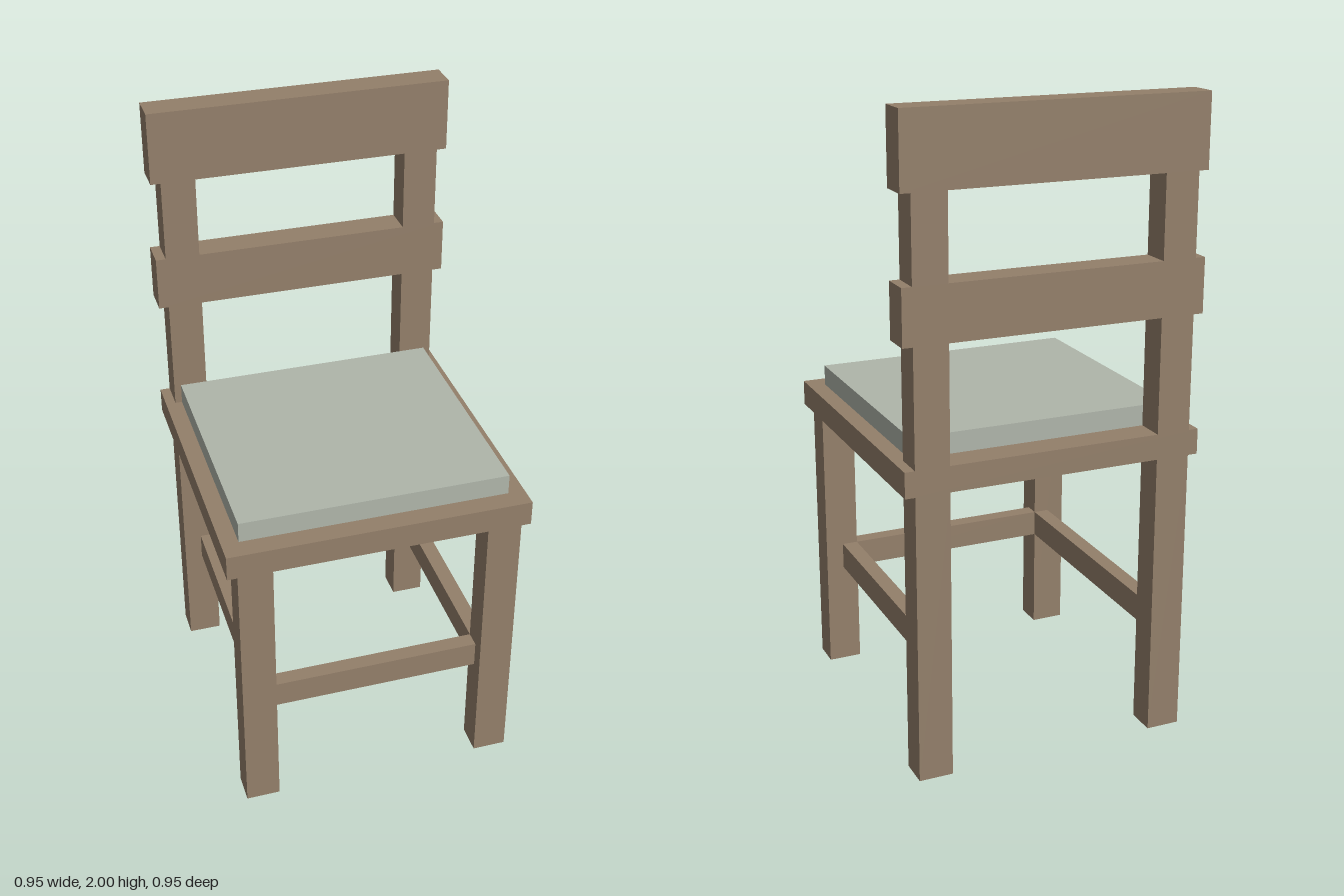
import * as THREE from 'three';

export function createModel() {
  const model = new THREE.Group();
  model.name = 'chair';

  const wood = new THREE.MeshStandardMaterial({ color: 0x937f6a });
  wood.name = 'brown wood';
  const fabric = new THREE.MeshStandardMaterial({ color: 0xafb5aa });
  fabric.name = 'grey green fabric';

  // Box given by its lower and upper limits on each axis
  function addBox(name, material, [x0, x1], [y0, y1], [z0, z1]) {
    const mesh = new THREE.Mesh(new THREE.BoxGeometry(x1 - x0, y1 - y0, z1 - z0), material);
    mesh.position.set((x0 + x1) / 2, (y0 + y1) / 2, (z0 + z1) / 2);
    mesh.name = name;
    model.add(mesh);
  }

  const half = 0.473;              // half of the seat width and depth
  const legIn = 0.335, legOut = 0.442;
  const backZ = [-half, -0.378];
  const frontZ = [0.38, half];
  const seatY = [0.91, 0.99];
  const stretcherY = [0.34, 0.425];
  const fullX = [-half, half];

  // Seat board and cushion
  addBox('seat', wood, fullX, seatY, [-half, half]);
  addBox('cushion', fabric, [-0.42, 0.42], [seatY[1], 1.055], [backZ[1], 0.408]);

  // Legs, back posts and side stretchers, mirrored
  for (const [side, s] of [['left', 1], ['right', -1]]) {
    const span = (a, b) => (s > 0 ? [a, b] : [-b, -a]);
    const legX = span(legIn, legOut);
    addBox(side + 'FrontLeg', wood, legX, [0, seatY[0]], frontZ);
    addBox(side + 'BackLeg', wood, legX, [0, seatY[0]], backZ);
    addBox(side + 'LowerBackPost', wood, legX, [seatY[1], 1.35], backZ);
    addBox(side + 'UpperBackPost', wood, legX, [1.52, 1.775], backZ);
    addBox(side + 'Stretcher', wood, span(legIn, 0.385), stretcherY, [backZ[1], frontZ[0]]);
  }

  // Front stretcher between the front legs
  addBox('frontStretcher', wood, [-legIn, legIn], stretcherY, [frontZ[0], 0.43]);

  // Backrest rails
  addBox('middleRail', wood, fullX, [1.35, 1.52], backZ);
  addBox('topRail', wood, fullX, [1.775, 2], backZ);

  return model;
}
